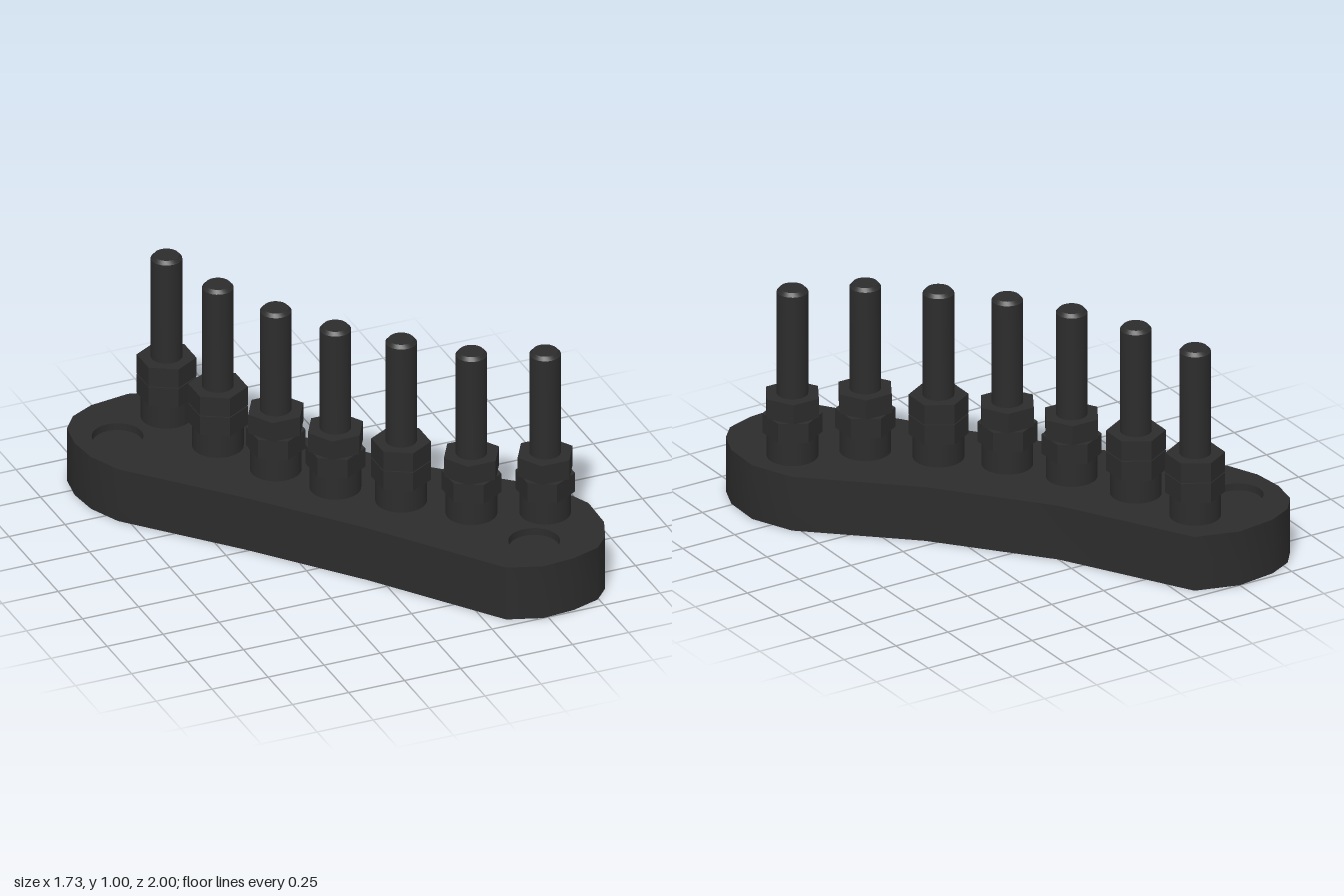
import * as THREE from 'three';
import { toCreasedNormals } from 'three/addons/utils/BufferGeometryUtils.js';

const BASE_TOP = 0.243;
const HOLE_R = 0.106;

// plan outline of the base as [x, z], clockwise seen from above
const OUTLINE = [
  [-0.5, -1], [-0.315, -0.947], [0, -0.4], [0.37, 0.04], [0.78, 0.41],
  [0.86, 0.59], [0.855, 0.76], [0.81, 0.875], [0.745, 0.947], [0.62, 0.988],
  [0.48, 1], [0.335, 0.95], [-0.055, 0.418], [-0.415, -0.02], [-0.79, -0.44],
  [-0.85, -0.577], [-0.865, -0.71], [-0.845, -0.836], [-0.78, -0.92], [-0.675, -0.974],
];
const HOLES = [[-0.68, -0.695], [0.53, 0.79]];

// x, z, and whether the upper nut is turned against the lower one
const STUDS = [
  [-0.43, -0.767, false], [-0.335, -0.46, false], [-0.197, -0.185, true],
  [-0.035, 0.053, true], [0.168, 0.26, false], [0.39, 0.47, true], [0.668, 0.587, true],
];

export function createModel() {
  const model = new THREE.Group();
  model.name = 'studPlate';
  const black = new THREE.MeshStandardMaterial({ color: 0x2c2c2c });
  black.name = 'black';
  const shell = new THREE.MeshStandardMaterial({ color: 0x2c2c2c, side: THREE.DoubleSide });
  shell.name = 'blackShell';

  const add = (parent, name, geometry, material, x = 0, y = 0, z = 0) => {
    const mesh = new THREE.Mesh(geometry, material);
    mesh.name = name;
    mesh.position.set(x, y, z);
    parent.add(mesh);
    return mesh;
  };

  // base: top sheet with two holes, open underneath
  const base = new THREE.Group();
  base.name = 'base';
  model.add(base);
  const shape = new THREE.Shape(OUTLINE.map(([x, z]) => new THREE.Vector2(x, -z)));
  for (const [x, z] of HOLES) {
    shape.holes.push(new THREE.Path().absarc(x, -z, HOLE_R, 0, Math.PI * 2));
  }
  add(base, 'baseTop', new THREE.ShapeGeometry(shape, 16).rotateX(-Math.PI / 2), shell, 0, BASE_TOP, 0);

  // base side wall, smooth round the ends and sharp at the corners
  const pos = [];
  OUTLINE.forEach(([ax, az], i) => {
    const [bx, bz] = OUTLINE[(i + 1) % OUTLINE.length];
    pos.push(ax, 0, az, ax, BASE_TOP, az, bx, BASE_TOP, bz);
    pos.push(ax, 0, az, bx, BASE_TOP, bz, bx, 0, bz);
  });
  const wall = new THREE.BufferGeometry();
  wall.setAttribute('position', new THREE.Float32BufferAttribute(pos, 3));
  add(base, 'baseWall', toCreasedNormals(wall, 0.56), shell);

  // sunken sockets: short sleeve with a plug a little below the top
  for (const [x, z] of HOLES) {
    add(base, 'socketSleeve', new THREE.CylinderGeometry(HOLE_R, HOLE_R, 0.065, 32, 1, true), shell, x, BASE_TOP - 0.0325, z);
    add(base, 'socketPlug', new THREE.CircleGeometry(0.103, 32).rotateX(-Math.PI / 2), shell, x, BASE_TOP - 0.03, z);
  }

  // threaded studs, each with a spacer and two nuts
  const rodProfile = [[0, 0.24], [0.065, 0.24], [0.065, 0.985], [0.052, 1], [0, 1]]
    .map(([r, y]) => new THREE.Vector2(r, y));
  const rod = toCreasedNormals(new THREE.LatheGeometry(rodProfile, 24), 0.5);
  const spacer = new THREE.CylinderGeometry(0.106, 0.106, 0.107, 32);
  const nut = toCreasedNormals(new THREE.CylinderGeometry(0.123, 0.123, 0.087, 6), 0.3);

  for (const [x, z, turned] of STUDS) {
    const stud = new THREE.Group();
    stud.name = 'stud';
    stud.position.set(x, 0, z);
    model.add(stud);
    add(stud, 'rod', rod, black);
    add(stud, 'spacer', spacer, black, 0, 0.2935, 0);
    add(stud, 'lowerNut', nut, black, 0, 0.39, 0);
    const upper = add(stud, 'upperNut', nut, black, 0, 0.4815, 0);
    if (turned) upper.rotation.y = Math.PI / 6;
  }
  return model;
}
